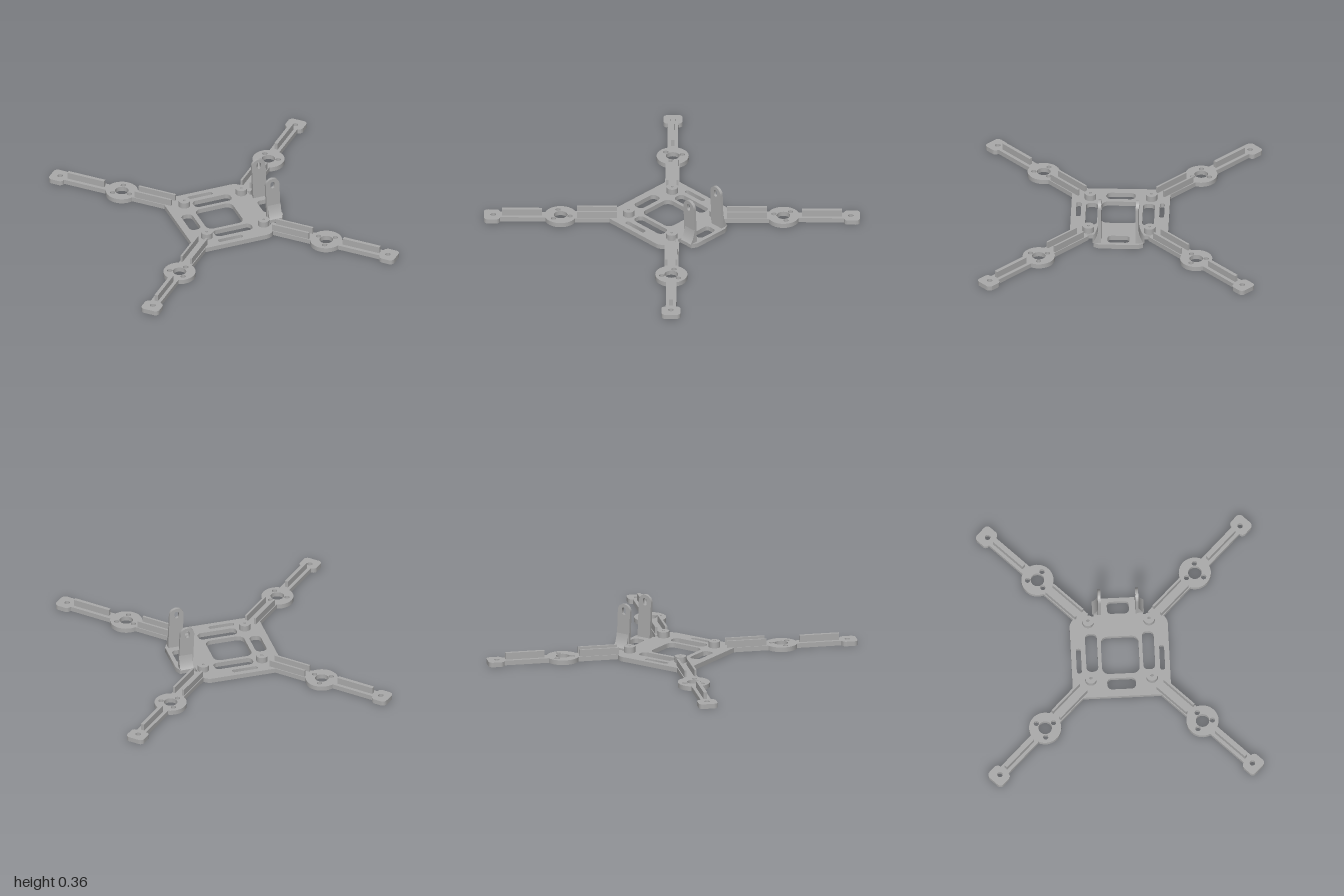
import * as THREE from 'three';
import { toCreasedNormals } from 'three/addons/utils/BufferGeometryUtils.js';

const frameGrey = new THREE.MeshStandardMaterial({ color: 0xaaaaaa });
frameGrey.name = 'frameGrey';

const T = 0.035; // plate thickness

function mesh(name, geometry) {
  const m = new THREE.Mesh(toCreasedNormals(geometry, 0.6), frameGrey);
  m.name = name;
  return m;
}

// Closed rounded rectangle, usable as an outline or a hole
function roundRect(x0, x1, y0, y1, r, Type = THREE.Path) {
  const p = new Type();
  p.absarc(x1 - r, y1 - r, r, 0, Math.PI / 2);
  p.absarc(x0 + r, y1 - r, r, Math.PI / 2, Math.PI);
  p.absarc(x0 + r, y0 + r, r, Math.PI, Math.PI * 1.5);
  p.absarc(x1 - r, y0 + r, r, Math.PI * 1.5, Math.PI * 2);
  p.closePath();
  return p;
}

function circle(x, y, r, Type = THREE.Path) {
  return new Type().absarc(x, y, r, 0, Math.PI * 2);
}

// Lay a shape (x, z) flat, filling from y0 to y1
function slab(shape, y0, y1) {
  const g = new THREE.ExtrudeGeometry(shape, { depth: y1 - y0, bevelEnabled: false, curveSegments: 20 });
  return g.rotateX(Math.PI / 2).translate(0, y1, 0);
}

function box(x0, x1, y0, y1, z0, z1) {
  return new THREE.BoxGeometry(x1 - x0, y1 - y0, z1 - z0)
    .translate((x0 + x1) / 2, (y0 + y1) / 2, (z0 + z1) / 2);
}

// Centre plate with the camera tab on +x and its cut-outs
function centrePlate() {
  const s = new THREE.Shape();
  s.moveTo(-0.355, -0.357);
  s.lineTo(0.19, -0.357);
  s.absarc(0.19, -0.277, 0.08, -Math.PI / 2, 0);
  s.lineTo(0.27, -0.18);
  s.lineTo(0.385, -0.18);
  s.lineTo(0.405, -0.14);
  s.lineTo(0.405, 0.14);
  s.lineTo(0.385, 0.18);
  s.lineTo(0.27, 0.18);
  s.absarc(0.19, 0.277, 0.08, 0, Math.PI / 2);
  s.lineTo(-0.355, 0.357);
  s.closePath();
  s.holes.push(roundRect(-0.18, 0.108, -0.137, 0.137, 0.05));
  s.holes.push(roundRect(-0.3, -0.215, -0.105, 0.105, 0.035));
  s.holes.push(roundRect(0.283, 0.376, -0.08, 0.08, 0.03));
  for (const k of [-1, 1]) {
    s.holes.push(roundRect(-0.157, 0.136, k * 0.207 - 0.043, k * 0.207 + 0.043, 0.035));
    s.holes.push(roundRect(-0.165, 0.026, k * 0.303 - 0.018, k * 0.303 + 0.018, 0.015));
    for (const x of [-0.222, 0.222]) s.holes.push(circle(x, k * 0.222, 0.01));
  }
  return mesh('centrePlate', slab(s, 0, T));
}

// One arm along local +x, from its screw boss to its end foot
function arm() {
  const g = new THREE.Group();
  g.name = 'arm';

  const boss = circle(0.314, 0, 0.042, THREE.Shape);
  boss.holes.push(circle(0.314, 0, 0.01));
  g.add(mesh('screwBoss', slab(boss, T, 0.08)));

  g.add(mesh('innerArm', box(0.36, 0.71, 0, T, -0.052, 0.052)));
  for (const k of [-1, 1]) {
    const z = k * 0.037;
    g.add(mesh('innerRail', box(0.4, 0.69, T, 0.085, z - 0.008, z + 0.008)));
  }

  const ring = circle(0.809, 0, 0.117, THREE.Shape);
  ring.holes.push(circle(0.809, 0, 0.049));
  for (let i = 0; i < 3; i++) {
    const a = -Math.PI / 4 + i * Math.PI * 2 / 3;
    ring.holes.push(circle(0.809 + 0.072 * Math.cos(a), 0.072 * Math.sin(a), 0.019));
  }
  g.add(mesh('motorRing', slab(ring, 0, T)));

  g.add(mesh('outerArm', box(0.915, 1.26, 0, T, -0.038, 0.038)));
  g.add(mesh('outerRail', box(0.945, 1.235, T, 0.085, -0.013, 0.013)));

  const foot = roundRect(1.249, 1.366, -0.07, 0.07, 0.032, THREE.Shape);
  foot.holes.push(circle(1.2975, 0, 0.02));
  g.add(mesh('endFoot', slab(foot, 0, T)));
  return g;
}

// Upright camera bracket with slotted top and an outer fillet
function cameraBracket(side) {
  const g = new THREE.Group();
  g.name = 'cameraBracket';
  const s = new THREE.Shape();
  s.moveTo(0.279, T);
  s.lineTo(0.385, T);
  s.lineTo(0.374, 0.308);
  s.absarc(0.321, 0.308, 0.053, 0, Math.PI);
  s.closePath();
  s.holes.push(roundRect(0.305, 0.337, 0.28, 0.336, 0.0155));
  const wall = new THREE.ExtrudeGeometry(s, { depth: 0.022, bevelEnabled: false, curveSegments: 16 });
  g.add(mesh('bracketWall', wall.translate(0, 0, side * 0.137 - 0.011)));

  const f = new THREE.Shape();
  f.moveTo(side * 0.14, T);
  f.lineTo(side * 0.188, T);
  f.quadraticCurveTo(side * 0.158, 0.07, side * 0.148, 0.135);
  f.lineTo(side * 0.14, 0.135);
  f.closePath();
  const fillet = new THREE.ExtrudeGeometry(f, { depth: 0.1, bevelEnabled: false, curveSegments: 8 });
  g.add(mesh('bracketFillet', fillet.rotateY(-Math.PI / 2).translate(0.384, 0, 0)));
  return g;
}

export function createModel() {
  const model = new THREE.Group();
  model.name = 'quadcopterFrame';
  model.add(centrePlate());
  for (let i = 0; i < 4; i++) {
    const a = arm();
    a.rotation.y = -Math.PI / 4 - i * Math.PI / 2;
    model.add(a);
  }
  model.add(cameraBracket(1), cameraBracket(-1));
  return model;
}
